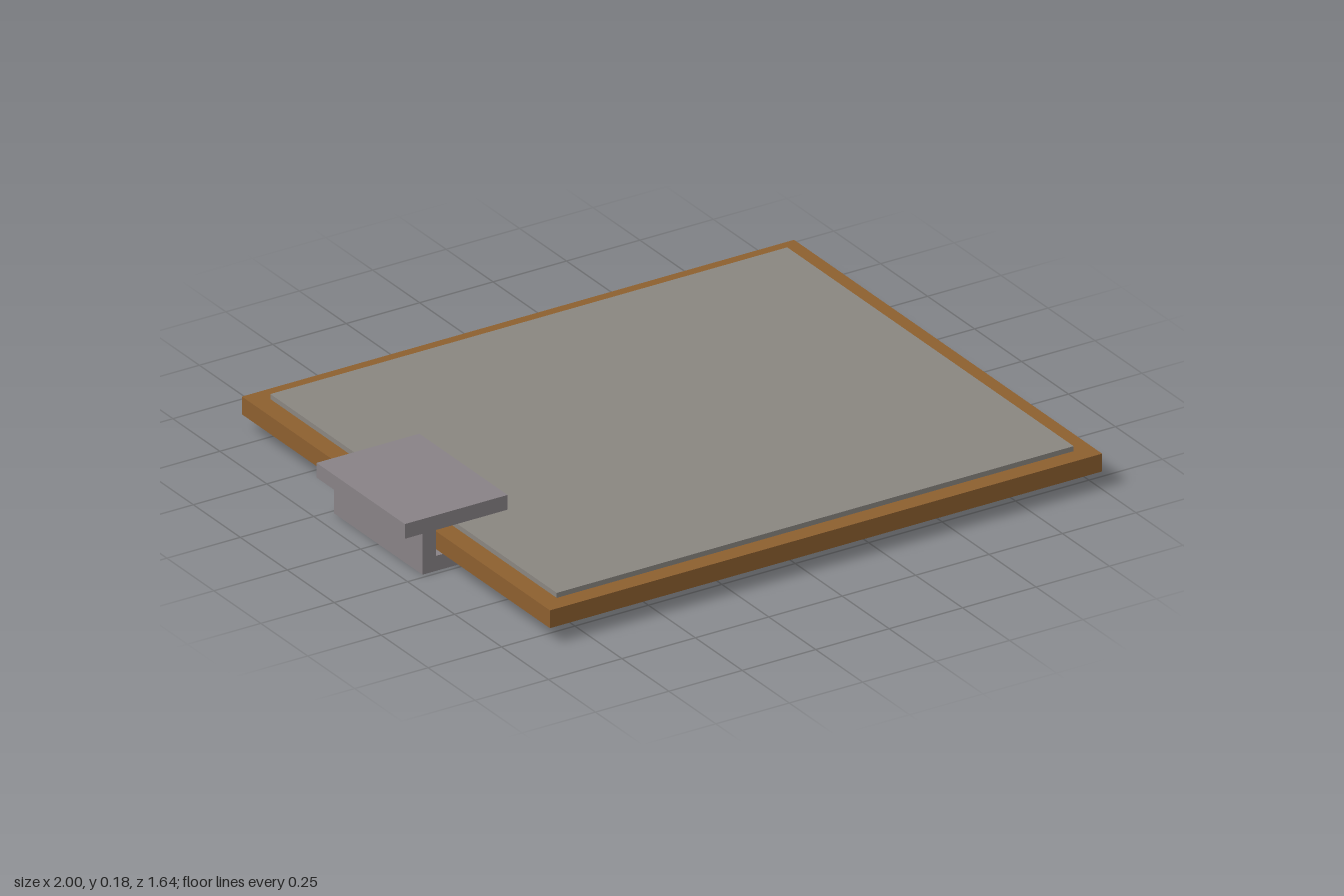
import * as THREE from 'three';

const wood = new THREE.MeshStandardMaterial({ color: 0x8f6130 });
const paper = new THREE.MeshStandardMaterial({ color: 0x8c8882 });
const metal = new THREE.MeshStandardMaterial({ color: 0x8a8488 });

// Box spanning [x0,x1] and [y0,y1], centred on z = 0
function slab(name, material, x0, x1, y0, y1, depth) {
  const mesh = new THREE.Mesh(new THREE.BoxGeometry(x1 - x0, y1 - y0, depth), material);
  mesh.position.set((x0 + x1) / 2, (y0 + y1) / 2, 0);
  mesh.name = name;
  return mesh;
}

export function createModel() {
  const group = new THREE.Group();
  group.name = 'clipboard';

  // Wooden board with a sheet stack on top
  group.add(slab('board', wood, -0.88, 1, 0.057, 0.114, 1.64));
  group.add(slab('paper', paper, -0.82, 0.94, 0.114, 0.13, 1.525));

  // Clip: upper jaw, spine behind the board edge, lower jaw
  const clip = new THREE.Group();
  clip.name = 'clip';
  clip.add(slab('upperJaw', metal, -1, -0.65, 0.131, 0.178, 0.47));
  clip.add(slab('spine', metal, -0.94, -0.893, 0.048, 0.131, 0.47));
  clip.add(slab('lowerJaw', metal, -0.94, -0.71, 0, 0.048, 0.47));
  group.add(clip);

  return group;
}
